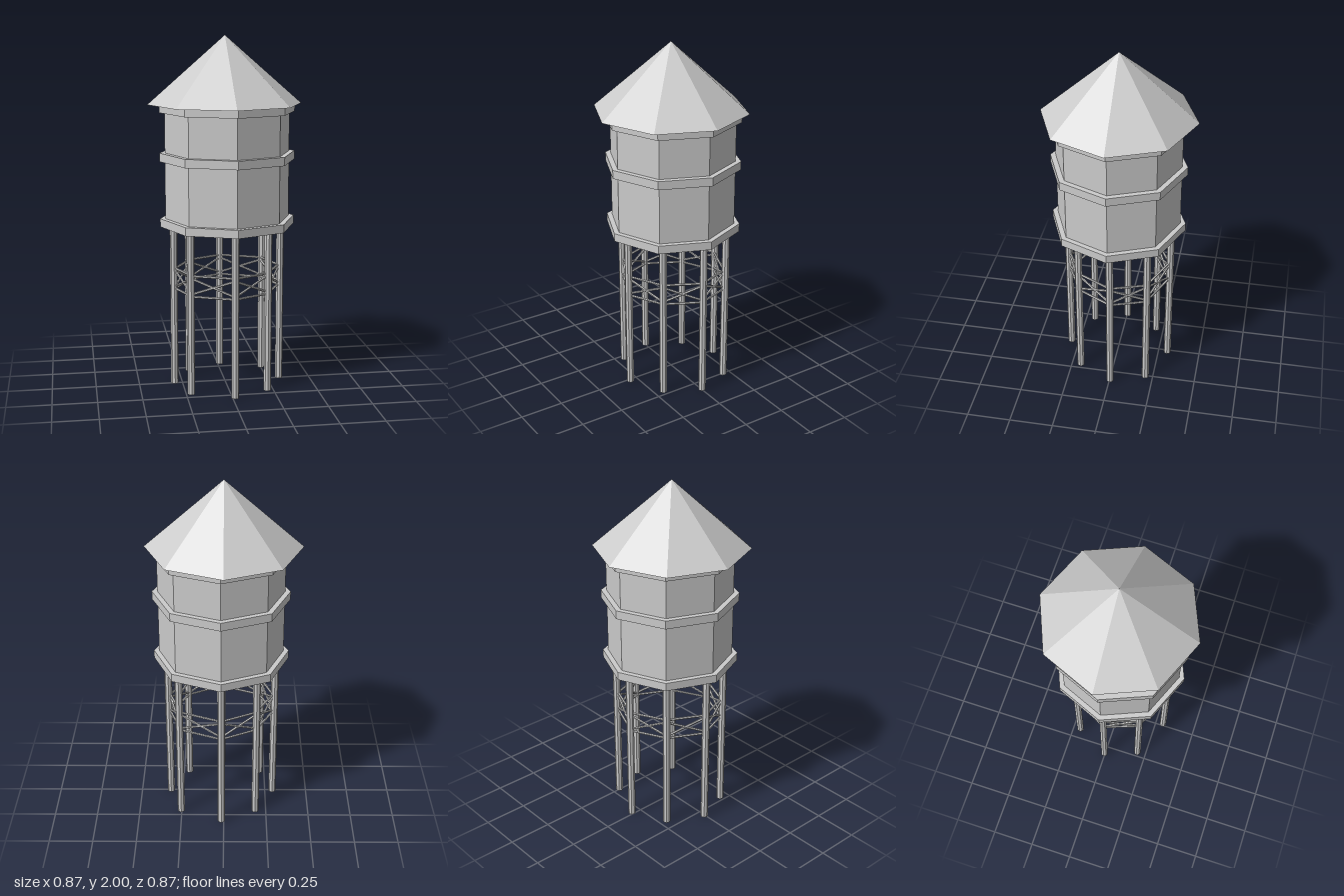
import * as THREE from 'three';

const material = new THREE.MeshStandardMaterial({ color: 0xcccccc, flatShading: true });
const TANK_X = 0.015; // the tank sits slightly off the roof axis

function add(parent, name, geometry, x = 0, y = 0, z = 0) {
  const mesh = new THREE.Mesh(geometry, material);
  mesh.name = name;
  mesh.position.set(x, y, z);
  parent.add(mesh);
  return mesh;
}

// Upright octagonal drum between two heights
function drum(parent, name, radius, y0, y1) {
  add(parent, name, new THREE.CylinderGeometry(radius, radius, y1 - y0, 8), TANK_X, (y0 + y1) / 2, 0);
}

// Thin rod between two points
function rod(parent, name, a, b, radius) {
  const dir = b.clone().sub(a);
  const mesh = add(parent, name, new THREE.CylinderGeometry(radius, radius, dir.length(), 6));
  mesh.position.copy(a).add(b).multiplyScalar(0.5);
  mesh.quaternion.setFromUnitVectors(new THREE.Vector3(0, 1, 0), dir.normalize());
}

export function createModel() {
  const model = new THREE.Group();
  model.name = 'waterTower';

  // Roof
  add(model, 'roof', new THREE.ConeGeometry(0.435, 0.38, 8), 0, 1.81, 0);

  // Tank with three hoops
  drum(model, 'tank', 0.354, 0.94, 1.62);
  drum(model, 'bottomHoop', 0.384, 0.93, 0.977);
  drum(model, 'middleHoop', 0.385, 1.302, 1.35);
  drum(model, 'topHoop', 0.384, 1.575, 1.62);

  // Legs, in order around the ring (x, z)
  const feet = [
    [0.014, 0.296], [0.216, 0.196], [0.322, -0.004], [0.253, -0.205],
    [0.014, -0.304], [-0.186, -0.205], [-0.294, -0.004], [-0.221, 0.196],
  ];
  const legs = new THREE.Group();
  legs.name = 'legs';
  model.add(legs);
  for (const [x, z] of feet) {
    add(legs, 'leg', new THREE.CylinderGeometry(0.0215, 0.0215, 0.95, 8), x, 0.475, z);
  }

  // Two rings of rods with crossed braces between neighbouring legs
  const bracing = new THREE.Group();
  bracing.name = 'bracing';
  model.add(bracing);
  const joint = (i, y) => {
    const [x, z] = feet[i % 8];
    return new THREE.Vector3(x * 0.97, y, z * 0.98);
  };
  for (let i = 0; i < 8; i++) {
    rod(bracing, 'lowerRail', joint(i, 0.567), joint(i + 1, 0.567), 0.007);
    rod(bracing, 'upperRail', joint(i, 0.685), joint(i + 1, 0.685), 0.007);
    rod(bracing, 'crossBrace', joint(i, 0.58), joint(i + 1, 0.67), 0.007);
    rod(bracing, 'crossBrace', joint(i, 0.67), joint(i + 1, 0.58), 0.007);
  }

  return model;
}
